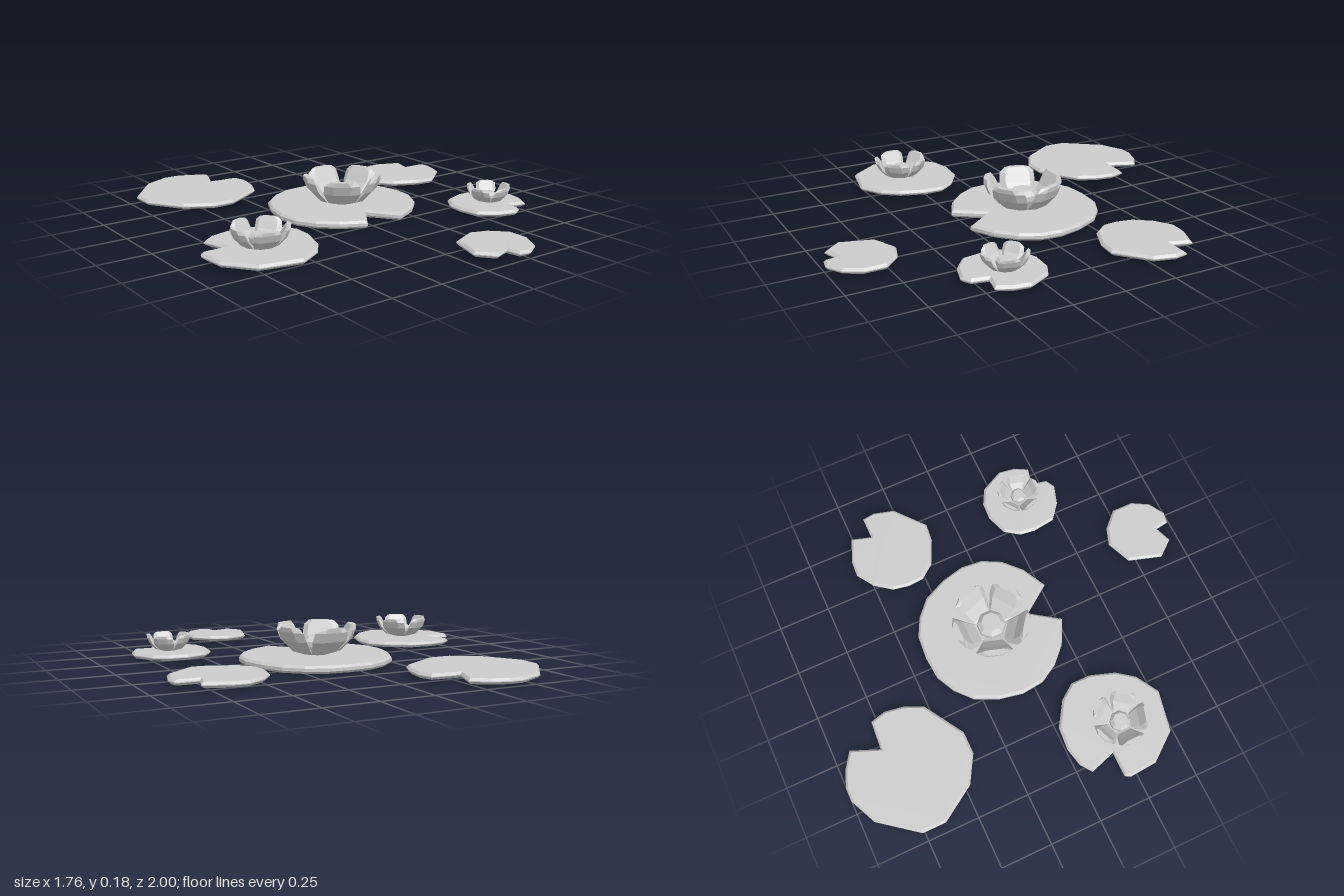
import * as THREE from 'three';

const grey = new THREE.MeshStandardMaterial({ color: 0xcccccc });
grey.name = 'plain grey';

// Outline of each notched leaf as [x, z] points
const PADS = {
  centrePad: [[.053, -.415], [.168, -.405], [.258, -.36], [.335, -.29], [.388, -.18], [.415, -.065], [.405, .04],
    [.358, .13], [.273, .21], [.155, .27], [.053, .13], [-.045, .27], [-.163, .21], [-.24, .135], [-.293, .045],
    [-.305, -.065], [-.282, -.18], [-.23, -.29], [-.152, -.36], [-.06, -.405]],
  backRightPad: [[-.71, -.76], [-.57, -.94], [-.44, -1], [-.37, -1], [-.29, -.97], [-.215, -.92], [-.27, -.785],
    [-.13, -.775], [-.11, -.7], [-.125, -.61], [-.165, -.52], [-.36, -.4], [-.47, -.4], [-.6, -.475], [-.71, -.645]],
  backLeftPad: [[.435, -.34], [.45, -.42], [.51, -.5], [.595, -.555], [.675, -.55], [.79, -.505], [.76, -.41],
    [.87, -.41], [.878, -.35], [.85, -.25], [.705, -.13], [.615, -.14], [.495, -.195], [.44, -.265]],
  rightPad: [[-.88, .215], [-.865, .19], [-.745, .19], [-.785, .065], [-.73, .025], [-.64, .005], [-.53, .015],
    [-.415, .09], [-.36, .165], [-.36, .26], [-.4, .38], [-.46, .46], [-.57, .525], [-.765, .485], [-.87, .35]],
  leftPad: [[.445, .355], [.455, .28], [.505, .21], [.605, .175], [.69, .18], [.765, .22], [.822, .33], [.81, .41],
    [.775, .475], [.69, .455], [.675, .53], [.63, .555], [.535, .525], [.46, .465]],
  frontPad: [[.045, .87], [.095, .71], [.215, .66], [.3, .69], [.375, .765], [.375, .87], [.33, .95], [.255, .995],
    [.2, .985], [.19, .92], [.11, .95]]
};

// Flowers: position, scale and turn of the first petal from the back, in degrees
const FLOWERS = [
  { name: 'centreFlower', x: .055, z: -.065, scale: 1, turn: 0 },
  { name: 'rightFlower', x: -.63, z: .28, scale: .7, turn: -20 },
  { name: 'leftFlower', x: .64, z: .355, scale: .56, turn: 35 }
];

// Thin leaf with a bevelled rim
function padGeometry(outline, bottom) {
  const shape = new THREE.Shape(outline.map(([x, z]) => new THREE.Vector2(x, -z)));
  const top = .036, bevel = .011;
  const geo = new THREE.ExtrudeGeometry(shape, {
    depth: top - bottom - 2 * bevel, bevelThickness: bevel, bevelSize: .011, bevelOffset: -.011, bevelSegments: 1
  });
  geo.rotateX(-Math.PI / 2);
  geo.translate(0, bottom + bevel, 0);
  return geo;
}

// Cupped petal leaning out along +z, lofted through six-point cross-sections
function petalGeometry() {
  // [distance out, height, half width, thickness]
  const sections = [[.05, 0, .035, .03], [.115, .02, .065, .035], [.165, .075, .088, .035],
    [.185, .12, .085, .03], [.188, .142, .06, .02]];
  const loops = sections.map(([r, y, w, t]) => [[-w, r - .022], [-w * .5, r], [w * .5, r], [w, r - .022],
    [w * .7, r - t - .008], [-w * .7, r - t - .008]].map(([x, z]) => [x, y, z]));
  const pos = [];
  const tri = (a, b, c) => pos.push(...a, ...b, ...c);
  for (let i = 0; i < loops.length - 1; i++) {
    for (let j = 0; j < 6; j++) {
      const k = (j + 1) % 6, lo = loops[i], hi = loops[i + 1];
      tri(lo[j], lo[k], hi[k]);
      tri(lo[j], hi[k], hi[j]);
    }
  }
  const base = loops[0], tip = loops[loops.length - 1];
  for (let j = 1; j < 5; j++) {
    tri(tip[0], tip[j], tip[j + 1]);
    tri(base[0], base[j + 1], base[j]);
  }
  const geo = new THREE.BufferGeometry();
  geo.setAttribute('position', new THREE.Float32BufferAttribute(pos, 3));
  geo.computeVertexNormals();
  return geo;
}

// Faceted eight-sided bulb in the middle of a flower
function bulbGeometry() {
  const profile = [[0, 0], [.05, 0], [.07, .04], [.07, .065], [.048, .088], [0, .088]];
  const geo = new THREE.LatheGeometry(profile.map(p => new THREE.Vector2(...p)), 8, Math.PI / 8).toNonIndexed();
  geo.computeVertexNormals();
  return geo;
}

function addMesh(parent, name, geometry) {
  const mesh = new THREE.Mesh(geometry, grey);
  mesh.name = name;
  parent.add(mesh);
  return mesh;
}

export function createModel() {
  const model = new THREE.Group();
  model.name = 'waterLilies';

  for (const [name, outline] of Object.entries(PADS)) {
    addMesh(model, name, padGeometry(outline, name === 'centrePad' ? 0 : .01));
  }

  const petal = petalGeometry(), bulb = bulbGeometry();
  for (const { name, x, z, scale, turn } of FLOWERS) {
    const flower = new THREE.Group();
    flower.name = name;
    addMesh(flower, 'bulb', bulb);
    for (let i = 0; i < 5; i++) {
      addMesh(flower, 'petal', petal).rotation.y = Math.PI - THREE.MathUtils.degToRad(turn + i * 72);
    }
    flower.position.set(x, .034, z);
    flower.scale.setScalar(scale);
    model.add(flower);
  }
  return model;
}
